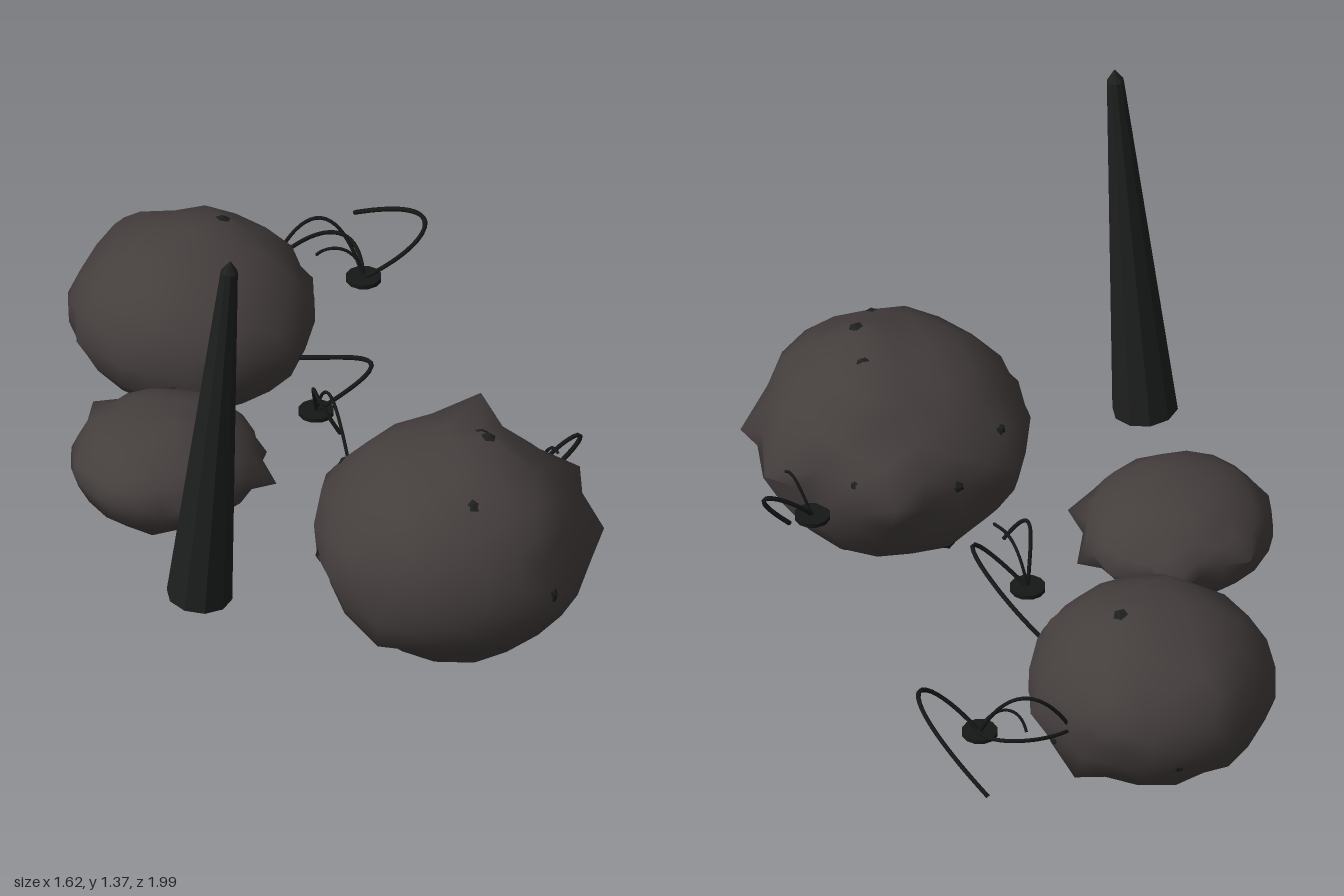
import * as THREE from 'three';
import { mergeVertices } from 'three/addons/utils/BufferGeometryUtils.js';

const mat = (name, color) => {
  const m = new THREE.MeshStandardMaterial({ color });
  m.name = name;
  return m;
};

const vec = (x, y, z) => new THREE.Vector3(x, y, z);
const UP = vec(0, 1, 0);

// Small seeded generator
function seeded(seed) {
  return () => {
    seed = (seed * 16807) % 2147483647;
    return seed / 2147483647;
  };
}

// Index of the vertex that lies most nearly towards a point, seen from the centre
function vertexTowards(position, center, point) {
  const dir = point.clone().sub(center).normalize();
  let best = 0, bestDot = -1;
  for (let i = 0; i < position.count; i++) {
    const dot = vec(0, 0, 0).fromBufferAttribute(position, i).sub(center).normalize().dot(dir);
    if (dot > bestDot) { bestDot = dot; best = i; }
  }
  return best;
}

// Lumpy ellipsoid with single corners pulled out to the given points
function rockGeometry(center, radii, seed, corners) {
  let geo = new THREE.IcosahedronGeometry(1, 3);
  geo.deleteAttribute('normal');
  geo.deleteAttribute('uv');
  geo = mergeVertices(geo, 1e-4);
  const rnd = seeded(seed);
  for (let i = 0; i < 8; i++) rnd();
  const pos = geo.attributes.position;
  const v = vec(0, 0, 0);
  for (let i = 0; i < pos.count; i++) {
    v.fromBufferAttribute(pos, i).multiplyScalar(1 + 0.07 * (rnd() - 0.5));
    v.multiply(radii).add(center);
    pos.setXYZ(i, v.x, v.y, v.z);
  }
  for (const [x, y, z] of corners) pos.setXYZ(vertexTowards(pos, center, vec(x, y, z)), x, y, z);
  geo.computeVertexNormals();
  return geo;
}

export function createModel() {
  const model = new THREE.Group();
  model.name = 'rocksAndVines';
  const stone = mat('brown grey stone', 0x443e3d);
  const dark = mat('dark slate', 0x1e1f1f);
  const black = mat('black vine', 0x161717);

  const addGroup = (name) => {
    const group = new THREE.Group();
    group.name = name;
    model.add(group);
    return group;
  };
  const addMesh = (parent, name, geo, material) => {
    const mesh = new THREE.Mesh(geo, material);
    mesh.name = name;
    parent.add(mesh);
    return mesh;
  };

  // Boulders, with small dark chips set on the surface
  const boulder = (name, center, radii, seed, corners, chips) => {
    const group = addGroup(name);
    const geo = rockGeometry(center, radii, seed, corners);
    addMesh(group, 'stone', geo, stone);
    const { position, normal } = geo.attributes;
    for (const [x, y, z] of chips) {
      const i = vertexTowards(position, center, vec(x, y, z));
      const chip = addMesh(group, 'chip', new THREE.ConeGeometry(0.021, 0.009, 5), dark);
      chip.position.fromBufferAttribute(position, i);
      chip.quaternion.setFromUnitVectors(UP, vec(0, 0, 0).fromBufferAttribute(normal, i));
    }
  };
  boulder('frontBoulder', vec(-0.125, 0.33, 0.6), vec(0.355, 0.305, 0.37), 71,
    [[0.3, 0.38, 0.65], [-0.5, 0.35, 0.5], [-0.07, 0.67, 0.68], [-0.13, 0, 0.7], [-0.2, 0.3, 0.99],
      [-0.05, 0.3, 0.99], [-0.2, 0.38, 0.2], [0.17, 0.35, 0.87], [0.1, 0.63, 0.48], [0.18, 0.4, 0.28],
      [-0.46, 0.17, 0.65], [0.05, 0.03, 0.6]],
    [[-0.11, 0.3, 0.97], [0, 0.63, 0.54], [-0.02, 0.66, 0.69], [-0.09, 0.66, 0.71], [-0.21, 0.62, 0.77],
      [-0.21, 0.45, 0.23], [0.2, 0.44, 0.37], [-0.05, 0.4, 0.23], [-0.45, 0.3, 0.4], [-0.1, 0.08, 0.35]]);
  boulder('backBoulder', vec(0.155, 0.33, -0.65), vec(0.32, 0.247, 0.333), 523,
    [[0.2, 0.33, -1], [0.485, 0.33, -0.53], [0.47, 0.4, -0.8], [-0.17, 0.33, -0.6], [0.25, 0.59, -0.63],
      [0.23, 0.08, -0.68], [0.47, 0.19, -0.68], [0.2, 0.46, -0.95], [0.17, 0.33, -0.3], [-0.17, 0.33, -0.76]],
    [[0.25, 0.57, -0.69], [0.45, 0.3, -0.6], [0.3, 0.25, -0.98], [-0.1, 0.2, -0.85], [0.1, 0.1, -0.6]]);
  boulder('middleBoulder', vec(-0.385, 0.32, -0.215), vec(0.256, 0.15, 0.25), 1907,
    [[-0.37, 0.36, -0.5], [-0.1, 0.32, -0.24], [-0.12, 0.27, -0.1], [-0.15, 0.34, -0.42], [-0.655, 0.33, -0.2],
      [-0.24, 0.3, 0.055], [-0.48, 0.31, 0.055], [-0.4, 0.48, -0.15], [-0.4, 0.16, -0.23], [-0.55, 0.21, -0.1]],
    []);

  // Tall leaning spire with a short point
  const base = vec(-0.725, 0.273, 0.25);
  const axis = vec(-0.698, 1.367, 0.338).sub(base);
  const h = axis.length();
  const profile = [[0, 0], [0.088, 0], [0.023, h - 0.035], [0, h]].map(([r, y]) => new THREE.Vector2(r, y));
  const spireGeo = new THREE.LatheGeometry(profile, 10).toNonIndexed();
  spireGeo.computeVertexNormals();
  const spire = addMesh(model, 'spire', spireGeo, dark);
  spire.position.copy(base);
  spire.quaternion.setFromUnitVectors(UP, axis.normalize());

  // Small round feet, each with vines arching from it
  const plant = (name, foot) => {
    const group = addGroup(name);
    addMesh(group, 'foot', new THREE.CylinderGeometry(0.048, 0.048, 0.012, 12), black).position.copy(foot);
    return (radius, bendA, bendB, end) => {
      const curve = new THREE.CubicBezierCurve3(foot, bendA, bendB, end);
      addMesh(group, 'vine', new THREE.TubeGeometry(curve, 28, radius, 6), black);
    };
  };

  const backVine = plant('backPlant', vec(0.61, 0.302, -0.465));
  backVine(0.0065, vec(0.66, 0.46, -0.28), vec(0.84, 0.53, -0.31), vec(0.803, 0.31, -0.69));
  backVine(0.0055, vec(0.73, 0.4, -0.6), vec(0.6, 0.36, -0.67), vec(0.46, 0.33, -0.655));
  backVine(0.0055, vec(0.62, 0.52, -0.58), vec(0.53, 0.48, -0.62), vec(0.46, 0.34, -0.65));
  backVine(0.0045, vec(0.62, 0.4, -0.5), vec(0.53, 0.41, -0.53), vec(0.56, 0.34, -0.59));

  const middleVine = plant('middlePlant', vec(0.075, 0.302, -0.11));
  middleVine(0.0065, vec(0.2, 0.56, 0.14), vec(0.235, 0.4, -0.1), vec(0.215, 0.31, -0.31));
  middleVine(0.0055, vec(0.03, 0.46, -0.08), vec(-0.05, 0.48, -0.02), vec(0.005, 0.34, 0.05));
  middleVine(0.0045, vec(0.09, 0.48, -0.08), vec(0, 0.36, 0.06), vec(-0.055, 0.305, 0.145));

  const frontVine = plant('frontPlant', vec(0.256, 0.302, 0.515));
  frontVine(0.0065, vec(0.33, 0.4, 0.53), vec(0.47, 0.46, 0.61), vec(0.325, 0.305, 0.53));
  frontVine(0.0045, vec(0.27, 0.37, 0.54), vec(0.28, 0.44, 0.56), vec(0.27, 0.41, 0.6));

  return model;
}
